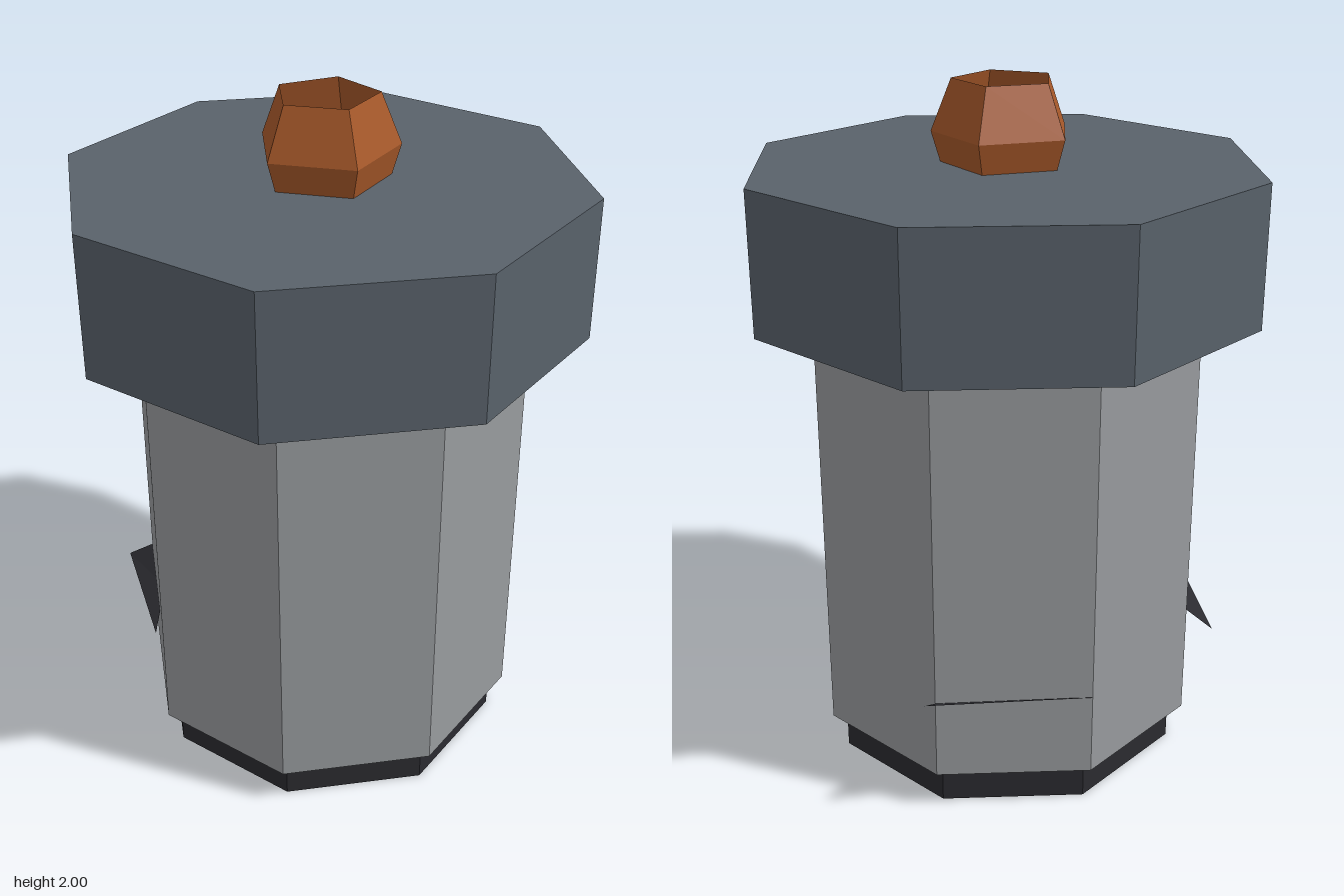
import * as THREE from 'three';

const paint = (color, side = THREE.FrontSide) =>
  new THREE.MeshStandardMaterial({ color, side, flatShading: true });

// Upright octagonal prism between two heights
function prism(name, radius, y0, y1, color) {
  const geo = new THREE.CylinderGeometry(radius, radius, y1 - y0, 8);
  geo.translate(0, (y0 + y1) / 2, 0);
  const mesh = new THREE.Mesh(geo, paint(color));
  mesh.name = name;
  return mesh;
}

// Thin flat flake from a fan of corners
function flake(name, corners, color) {
  const pos = [];
  for (let i = 1; i < corners.length - 1; i++) {
    pos.push(...corners[0], ...corners[i], ...corners[i + 1]);
  }
  const geo = new THREE.BufferGeometry();
  geo.setAttribute('position', new THREE.Float32BufferAttribute(pos, 3));
  geo.computeVertexNormals();
  const mesh = new THREE.Mesh(geo, paint(color, THREE.DoubleSide));
  mesh.name = name;
  return mesh;
}

export function createModel() {
  const model = new THREE.Group();
  model.name = 'canister';

  // Stacked octagonal body
  model.add(prism('base', 0.535, 0, 0.115, 0x2b2b30));
  model.add(prism('body', 0.58, 0.115, 1.36, 0x999c9f));
  model.add(prism('cap', 0.745, 1.36, 1.77, 0x59626b));

  // Open five-sided knob, one corner pointing back
  const profile = [[0.18, 1.77], [0.205, 1.855], [0.147, 2]].map(([r, y]) => new THREE.Vector2(r, y));
  const knob = new THREE.Mesh(new THREE.LatheGeometry(profile, 5, Math.PI), paint(0xa8592a, THREE.DoubleSide));
  knob.name = 'knob';
  model.add(knob);

  // Slanted slivers of a band poking out of the body wall
  model.add(flake('frontSliver', [
    [-0.66, 0.405, 0], [-0.43, 0.44, 0.415], [-0.465, 0.463, 0.22], [-0.53, 0.486, 0],
  ], 0x2b2b30));
  model.add(flake('backSliver', [
    [0, 0.397, -0.658], [-0.43, 0.37, -0.415], [0, 0.32, -0.51],
  ], 0x2b2b30));

  return model;
}
